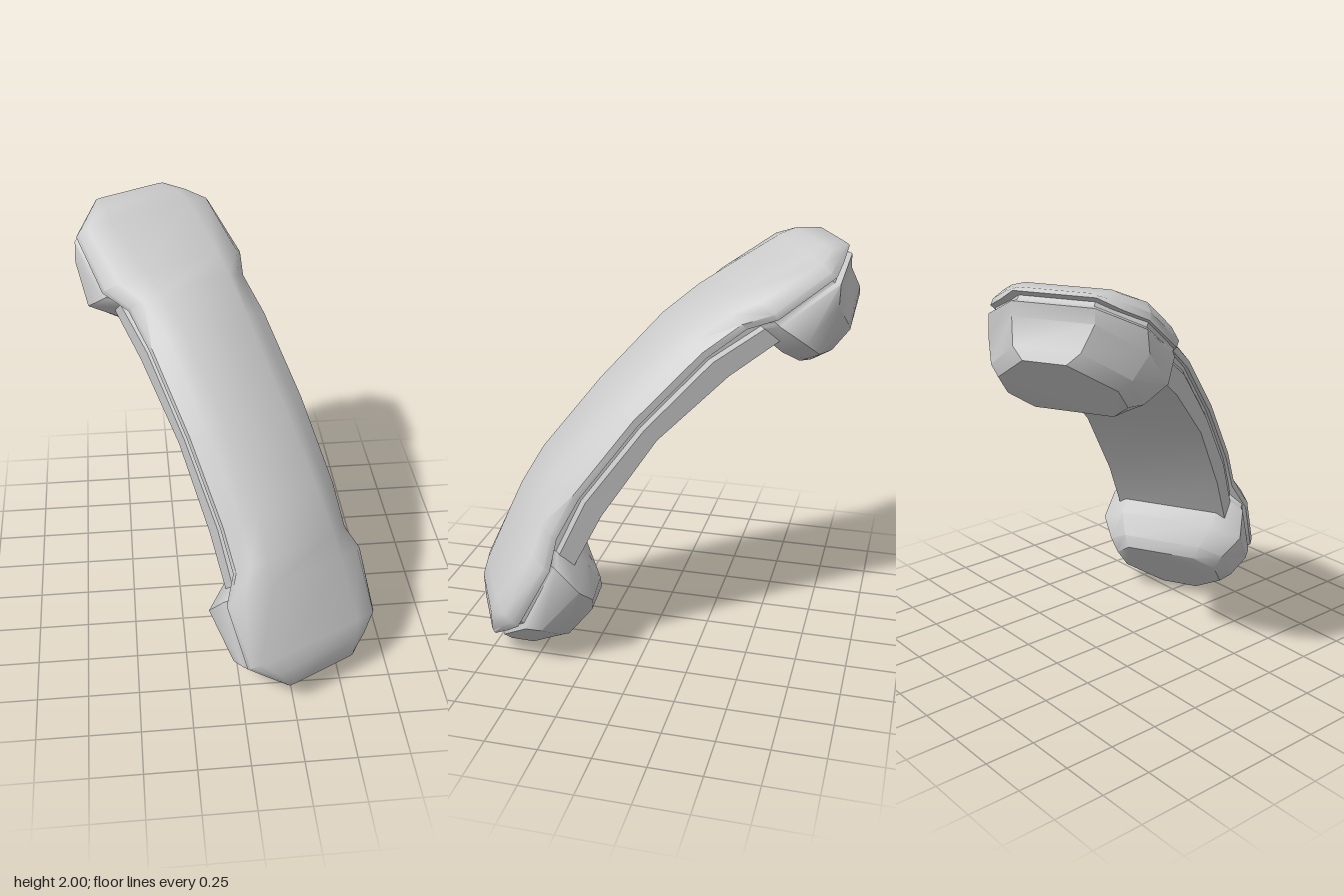
import * as THREE from 'three';
import { toCreasedNormals } from 'three/addons/utils/BufferGeometryUtils.js';

const material = new THREE.MeshStandardMaterial({ color: 0xcccccc });

// Skin a list of equal-length rings and close both ends
function loft(name, rings, crease) {
  const n = rings[0].length, last = (rings.length - 1) * n, index = [];
  for (let i = 0; i < rings.length - 1; i++) {
    for (let j = 0; j < n; j++) {
      const a = i * n + j, b = i * n + (j + 1) % n;
      index.push(a, b, b + n, a, b + n, a + n);
    }
  }
  for (let j = 1; j < n - 1; j++) {
    index.push(0, j + 1, j, last, last + j, last + j + 1);
  }
  const geometry = new THREE.BufferGeometry();
  geometry.setAttribute('position', new THREE.Float32BufferAttribute(rings.flat(2), 3));
  geometry.setIndex(index);
  const mesh = new THREE.Mesh(toCreasedNormals(geometry, crease), material);
  mesh.name = name;
  return mesh;
}

// Half of a ring on +x, completed by its mirror image
const mirrorRing = (half) => [...half, ...half.map(([x, y, z]) => [-x, y, z]).reverse()];

// Repeat stations for negative z, ordered from one end to the other
const bothWays = (list) => [
  ...list.slice(1).reverse().map(([z, ...rest]) => [-z, ...rest]), ...list];

// Shell stations: distance from middle, edge half width, flat half width, top height,
// seam height, shoulder half width, shoulder height
const SHELL = [
  [0, 0.318, 0.165, 0.343, 0.222, 0.25, 0.302],
  [0.45, 0.318, 0.17, 0.325, 0.195, 0.25, 0.28],
  [0.67, 0.318, 0.19, 0.276, 0.142, 0.265, 0.228],
  [0.8, 0.385, 0.2, 0.232, 0.085, 0.33, 0.188],
  [1.12, 0.37, 0.22, 0.12, 0.005, 0.335, 0.092],
  [1.2, 0.28, 0.2, 0.085, -0.01, 0.255, 0.066],
  [1.28, 0.19, 0.165, 0.005, -0.015, 0.18, 0],
];

// Height of the seam at a distance from the middle
function seam(z) {
  const s = Math.min(Math.abs(z), 1.279);
  const i = SHELL.findIndex((row) => row[0] > s);
  const a = SHELL[i - 1], b = SHELL[i];
  return THREE.MathUtils.mapLinear(s, a[0], b[0], a[4], b[4]);
}

// Outer shell along the whole back, with rounded shoulders
function makeShell() {
  const rings = bothWays(SHELL).map(([z, edge, flat, top, low, side, height]) => mirrorRing([
    [edge - 0.04, low, z],
    [edge, low, z],
    [edge, Math.min(low + 0.035, height - 0.004), z],
    [side, height, z],
    [flat, top, z],
  ]));
  return loft('outerShell', rings, 0.85);
}

// Grip underside, set back below the shell by a groove
function makeGrip() {
  const under = [[0, 0.096], [0.45, 0.045], [0.75, -0.032]];
  const rings = bothWays(under).map(([z, low]) => {
    const y = seam(z);
    return mirrorRing([
      [0.308, low, z],
      [0.314, y - 0.04, z],
      [0.3, y - 0.02, z],
      [0.3, y + 0.01, z],
    ]);
  });
  return loft('gripUnderside', rings, 0.5);
}

// Eight-sided cup with a groove under the shell, bulging a little and then
// tapering to a flat face; setback shortens its far end
function makeCup(name, setback) {
  const outline = [[0.27, 0.69], [0.38, 0.78], [0.37, 1.11], [0.19, 1.262]];
  const belly = [[0.26, 0.7], [0.4, 0.8], [0.378, 1.07], [0.19, 1.255]];
  const shoulder = [[0.215, 0.725], [0.325, 0.81], [0.33, 1.045], [0.155, 1.22]];
  const face = [[0.19, 0.765], [0.285, 0.865], [0.28, 1.035], [0.1, 1.2]];
  const follow = (inset, drop) => mirrorRing(outline.map(
    ([x, z]) => [x - inset, seam(z) - drop, z - (z > 1 ? inset : 0)]));
  const level = (points, y) => mirrorRing(points.map(
    ([x, z]) => [x, y, z > 1 ? z - setback : z]));
  return loft(name, [
    follow(0.015, -0.01),
    follow(0.015, 0.02),
    follow(0, 0.04),
    level(belly, -0.1),
    level(shoulder, -0.22),
    level(face, -0.272),
  ], 0.7);
}

export function createModel() {
  const handset = new THREE.Group();
  handset.name = 'handset';
  const lowerCup = makeCup('mouthpieceCup', 0);
  const upperCup = makeCup('earpieceCup', 0.04);
  upperCup.rotation.y = Math.PI;
  handset.add(makeShell(), makeGrip(), lowerCup, upperCup);

  // Stand the handset up at a slant, turned to one side
  handset.rotation.set(0.816, 0.476, 0, 'YXZ');
  handset.position.set(-0.004, 1.064, 0.026);

  const model = new THREE.Group();
  model.name = 'telephoneHandset';
  model.add(handset);
  return model;
}
